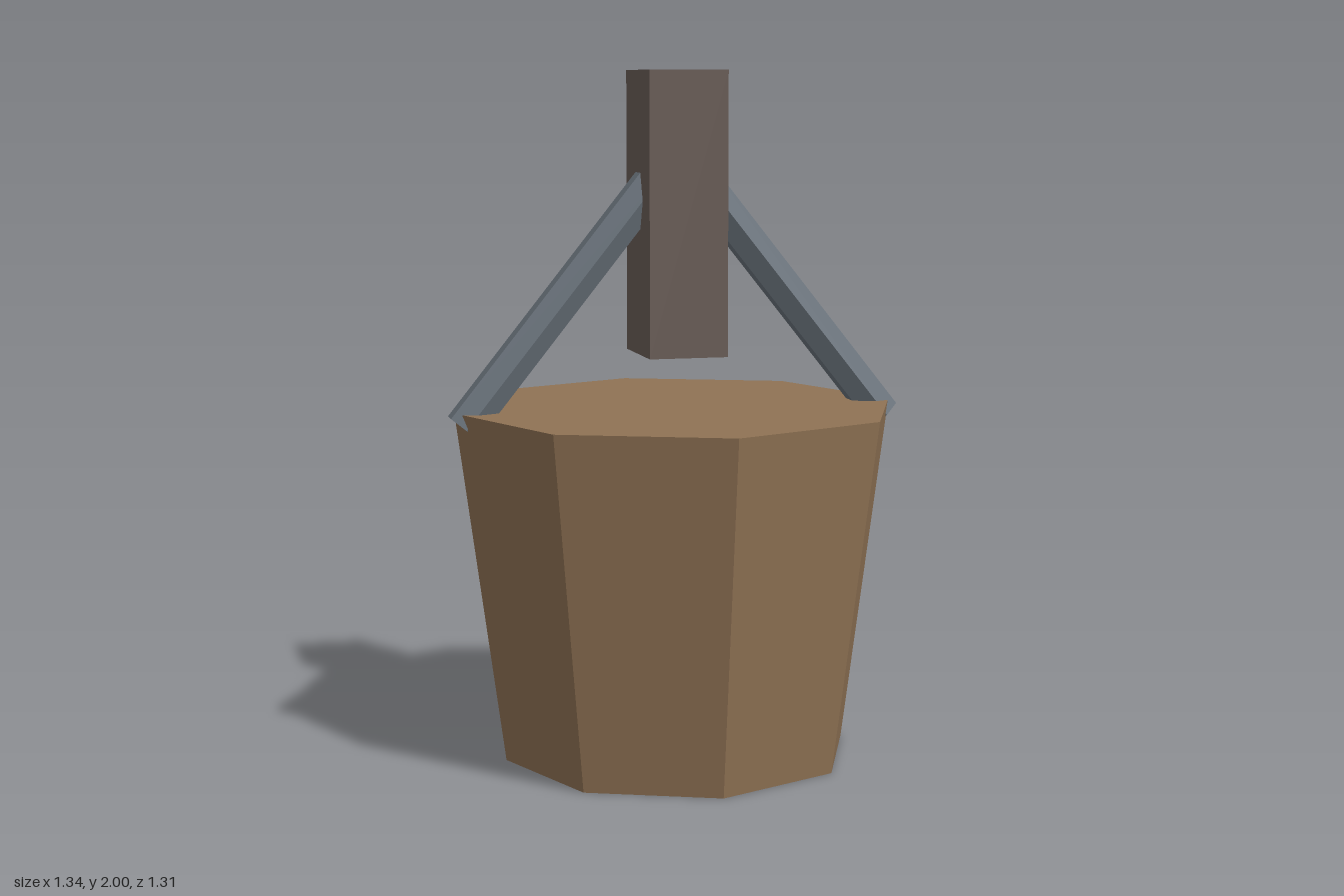
import * as THREE from 'three';

export function createModel() {
  const model = new THREE.Group();
  const material = (name, color) => {
    const m = new THREE.MeshStandardMaterial({ color, flatShading: true });
    m.name = name;
    return m;
  };
  const wood = material('bucket wood', 0x8f7254);
  const darkWood = material('dark wood', 0x695c56);
  const iron = material('iron', 0x6b747d);

  const add = (name, geometry, mat, x, y, z) => {
    const mesh = new THREE.Mesh(geometry, mat);
    mesh.name = name;
    mesh.position.set(x, y, z);
    model.add(mesh);
    return mesh;
  };

  // Tapered eight-sided bucket, closed on top
  add('bucket', new THREE.CylinderGeometry(0.655, 0.515, 1.03, 8), wood, 0, 0.515, 0);

  // Upright block above the bucket
  add('post', new THREE.BoxGeometry(0.23, 0.815, 0.28), darkWood, 0, 1.5925, 0);

  // Six-sided handle bars from the rim, meeting inside the post
  const footX = 0.63, footY = 0.987, apexY = 1.772;
  const length = Math.hypot(footX, apexY - footY);
  const tilt = Math.atan2(footX, apexY - footY);
  for (const side of [1, -1]) {
    const bar = add(side > 0 ? 'leftHandleBar' : 'rightHandleBar',
      new THREE.CylinderGeometry(0.058, 0.058, length, 6), iron,
      side * footX / 2, (footY + apexY) / 2, 0);
    bar.rotation.z = side * tilt;
  }
  return model;
}
